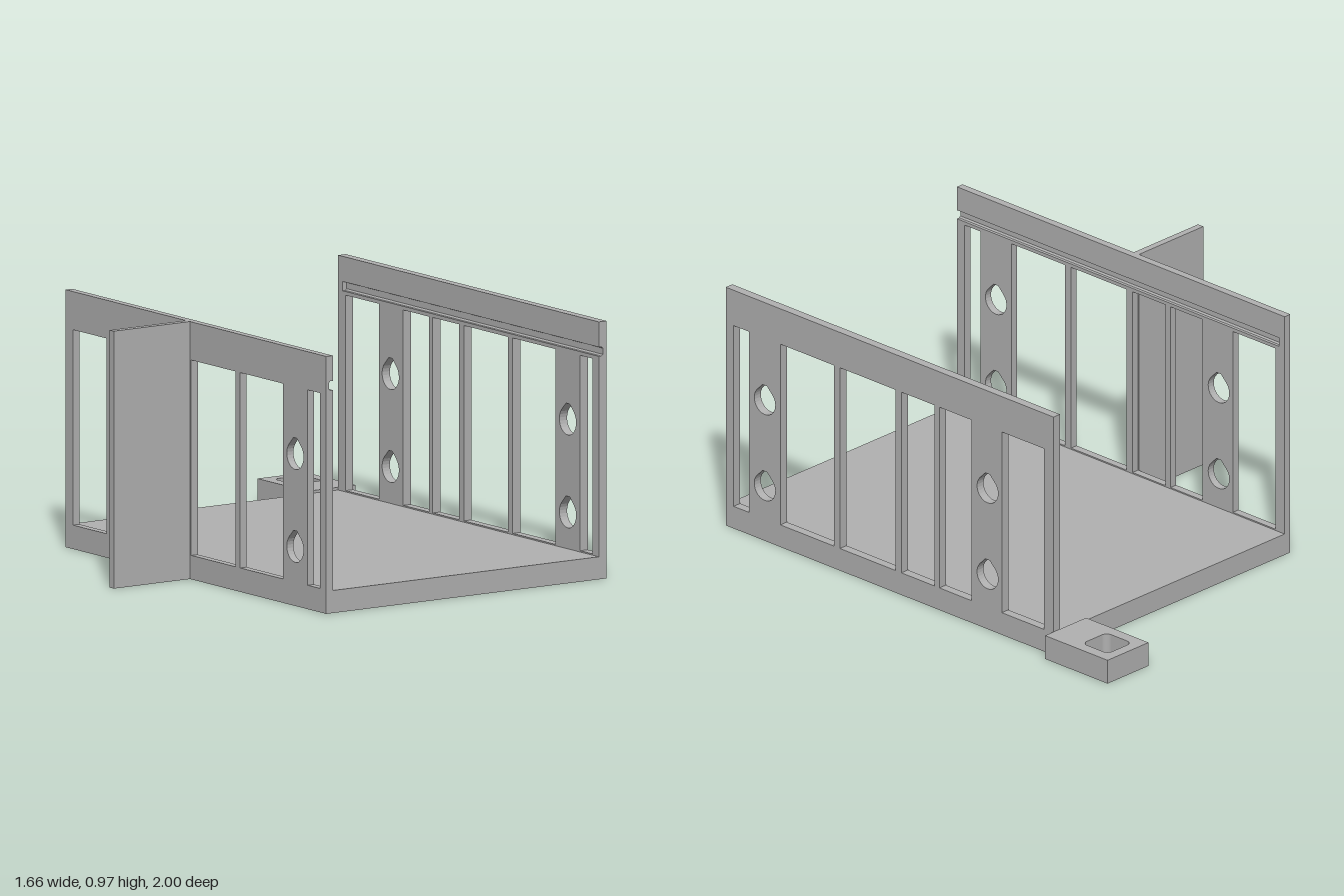
import * as THREE from 'three';

const FRONT = 1, BACK = -0.68;
const FLOOR = 0.085, TOP = 0.97, SPLIT = 0.84;

// Trace a closed list of [a, b] points as a Shape or Path
function trace(points, Type = THREE.Shape) {
  return new Type(points.map(([a, b]) => new THREE.Vector2(a, b)));
}

function rect(a0, b0, a1, b1, Type) {
  return trace([[a0, b0], [a1, b0], [a1, b1], [a0, b1]], Type);
}

// Square opening with rounded corners
function roundedSquare(cx, cy, half, r) {
  const p = new THREE.Path();
  const k = half - r;
  p.absarc(cx + k, cy + k, r, 0, Math.PI / 2);
  p.absarc(cx - k, cy + k, r, Math.PI / 2, Math.PI);
  p.absarc(cx - k, cy - k, r, Math.PI, Math.PI * 1.5);
  p.absarc(cx + k, cy - k, r, Math.PI * 1.5, Math.PI * 2);
  p.closePath();
  return p;
}

// Round hole with a clipped 45 degree peak
function teardrop(cx, cy, r = 0.054, peak = 0.065) {
  const p = new THREE.Path();
  const flat = r * Math.SQRT2 - peak;
  p.absarc(cx, cy, r, Math.PI * 0.75, Math.PI * 2.25);
  p.lineTo(cx + flat, cy + peak);
  p.lineTo(cx - flat, cy + peak);
  p.closePath();
  return p;
}

function extrude(shape, depth) {
  return new THREE.ExtrudeGeometry(shape, { depth, bevelEnabled: false, curveSegments: 10 });
}

export function createModel() {
  const model = new THREE.Group();
  model.name = 'slottedTray';
  const grey = new THREE.MeshStandardMaterial({ color: 0xb0b0b0 });
  grey.name = 'grey';

  const add = (name, geometry, parent = model) => {
    const mesh = new THREE.Mesh(geometry, grey);
    mesh.name = name;
    parent.add(mesh);
    return mesh;
  };
  const box = (name, x0, x1, y0, y1, z0, z1, parent) => {
    const g = new THREE.BoxGeometry(x1 - x0, y1 - y0, z1 - z0);
    g.translate((x0 + x1) / 2, (y0 + y1) / 2, (z0 + z1) / 2);
    return add(name, g, parent);
  };
  // Plan shapes use (x, -z) and rise from y0 to y1
  const slab = (name, shape, y0, y1) =>
    add(name, extrude(shape, y1 - y0).rotateX(-Math.PI / 2).translate(0, y0, 0));

  // Floor: lower layer with two blind pockets, closed by a thin upper layer
  const base = rect(-0.455, -FRONT, 0.75, -BACK);
  base.holes.push(roundedSquare(0.65, -0.785, 0.065, 0.025), roundedSquare(0.48, -0.87, 0.065, 0.025));
  slab('floorBase', base, 0, 0.06);
  box('floorTop', -0.455, 0.75, 0.06, FLOOR, BACK, FRONT);

  // Rear mounting tab with a through hole
  const tab = rect(0.61, -BACK, 0.83, 1);
  tab.holes.push(roundedSquare(0.72, 0.893, 0.065, 0.025));
  slab('mountingTab', tab, 0, 0.095);

  // Side walls: slotted panel, then a header with a groove on the inner face
  const windows = [[0.96, 0.88], [0.72, 0.445], [0.415, 0.13], [0.1, -0.07], [-0.095, -0.26], [-0.415, -0.632]];
  const grooveEnd = -0.65;
  for (const [side, x0, x1] of [['right', -0.485, -0.455], ['left', 0.75, 0.785]]) {
    const wall = new THREE.Group();
    wall.name = side + 'Wall';
    model.add(wall);

    const panel = rect(-FRONT, 0, -BACK, SPLIT);
    for (const [za, zb] of windows) panel.holes.push(rect(-za, 0.09, -zb, 0.826, THREE.Path));
    for (const z of [0.8, -0.342])
      for (const y of [0.218, 0.568]) panel.holes.push(teardrop(-z, y));
    add('slottedPanel', extrude(panel, x1 - x0).rotateY(Math.PI / 2).translate(x0, 0, 0), wall);

    // Header cross-section, from the inner face towards the outer face
    const inner = side === 'left' ? x0 : x1;
    const outer = side === 'left' ? x1 : x0;
    const d = Math.sign(outer - inner);
    const profile = trace([
      [outer, SPLIT], [outer, TOP], [inner, TOP], [inner, 0.875],
      [inner + d * 0.012, 0.875], [inner + d * 0.018, 0.869],
      [inner + d * 0.018, SPLIT + 0.006], [inner + d * 0.012, SPLIT],
    ]);
    add('groovedHeader', extrude(profile, FRONT - grooveEnd).translate(0, 0, grooveEnd), wall);
    box('headerEnd', x0, x1, SPLIT, TOP, BACK, grooveEnd, wall);
  }

  // Upright fin on the outside of the right wall
  box('sideFin', -0.83, -0.485, 0, TOP, 0.095, 0.122);

  return model;
}
